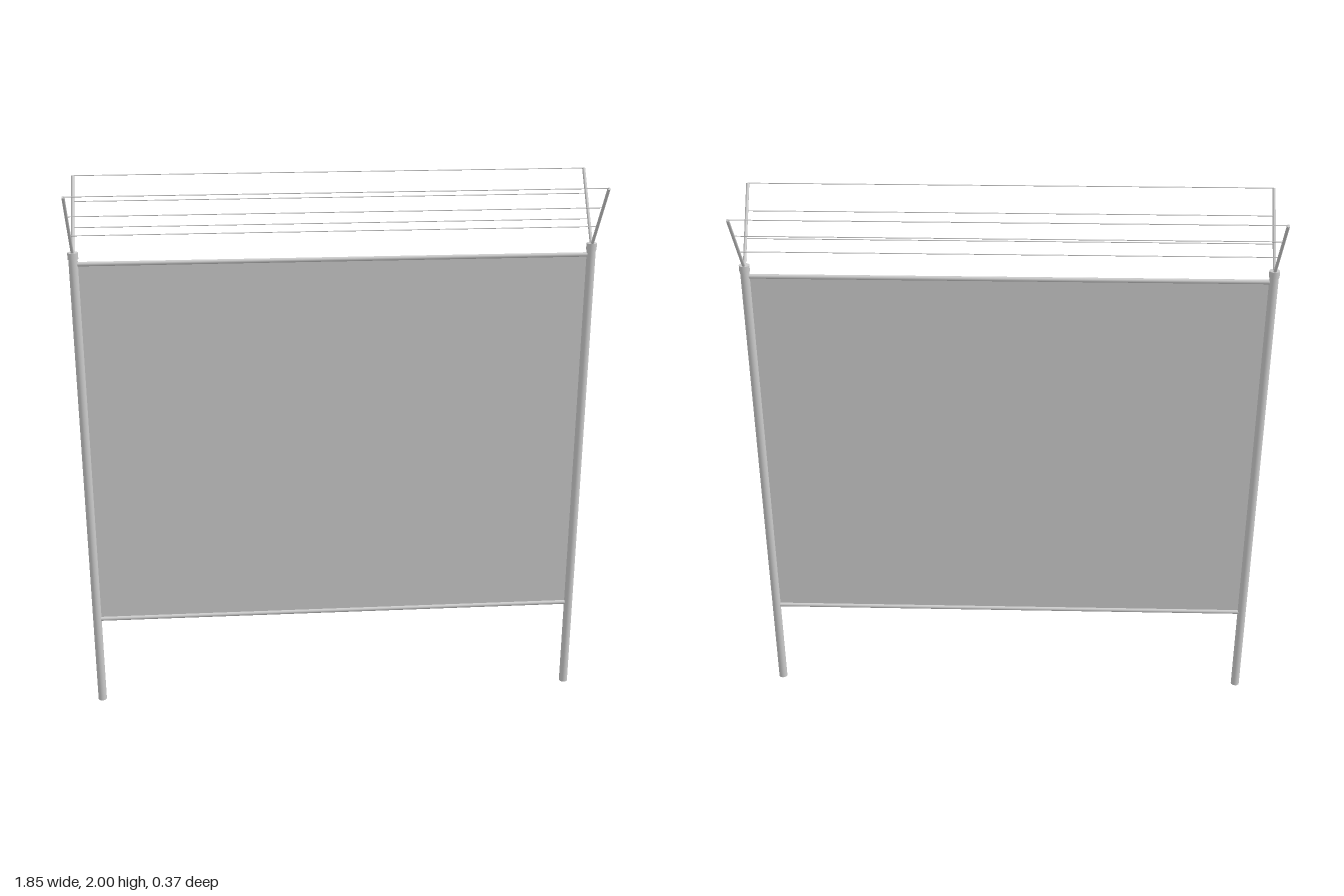
import * as THREE from 'three';

const UP = new THREE.Vector3(0, 1, 0);

export function createModel() {
  const model = new THREE.Group();
  const metal = new THREE.MeshStandardMaterial({ color: 0xcccccc });
  const sheet = new THREE.MeshStandardMaterial({ color: 0xcccccc, side: THREE.DoubleSide });

  // Round bar between two points
  function bar(name, from, to, radius, sides, parent = model) {
    const a = new THREE.Vector3(...from);
    const b = new THREE.Vector3(...to);
    const dir = b.clone().sub(a);
    const mesh = new THREE.Mesh(new THREE.CylinderGeometry(radius, radius, dir.length(), sides), metal);
    mesh.position.copy(a).add(b).multiplyScalar(0.5);
    mesh.quaternion.setFromUnitVectors(UP, dir.normalize());
    mesh.name = name;
    parent.add(mesh);
  }

  const postX = 0.907, postTop = 1.765, armZ = 0.181, armTop = 1.997;

  // Posts with a collar on top and a V of two slanted arms
  for (const [side, s] of [['left', 1], ['right', -1]]) {
    const post = new THREE.Group();
    post.name = side + 'Post';
    post.position.x = s * postX;
    bar('pole', [0, 0, 0], [0, postTop, 0], 0.016, 16, post);
    bar('collar', [0, 1.745, 0], [0, 1.768, 0], 0.0185, 16, post);
    bar('frontArm', [0, 1.757, 0], [0, armTop, armZ], 0.0055, 10, post);
    bar('backArm', [0, 1.757, 0], [0, armTop, -armZ], 0.0055, 10, post);
    model.add(post);
  }

  // Horizontal rails above and below the mesh panel
  bar('topRail', [-postX, 1.727, 0], [postX, 1.727, 0], 0.008, 12);
  bar('bottomRail', [-postX, 0.348, 0], [postX, 0.348, 0], 0.008, 12);

  // Thin fence panel
  const panel = new THREE.Mesh(new THREE.PlaneGeometry(2 * postX, 1.379), sheet);
  panel.position.y = (1.727 + 0.348) / 2;
  panel.name = 'fencePanel';
  model.add(panel);

  // Three wires along each pair of arms
  for (const [side, s] of [['front', 1], ['back', -1]]) {
    [0.34, 0.67, 1].forEach((t, i) => {
      const y = THREE.MathUtils.lerp(1.76, 1.998, t);
      const z = s * armZ * t;
      bar(`${side}Wire${i + 1}`, [-postX, y, z], [postX, y, z], 0.0016, 6);
    });
  }
  return model;
}
